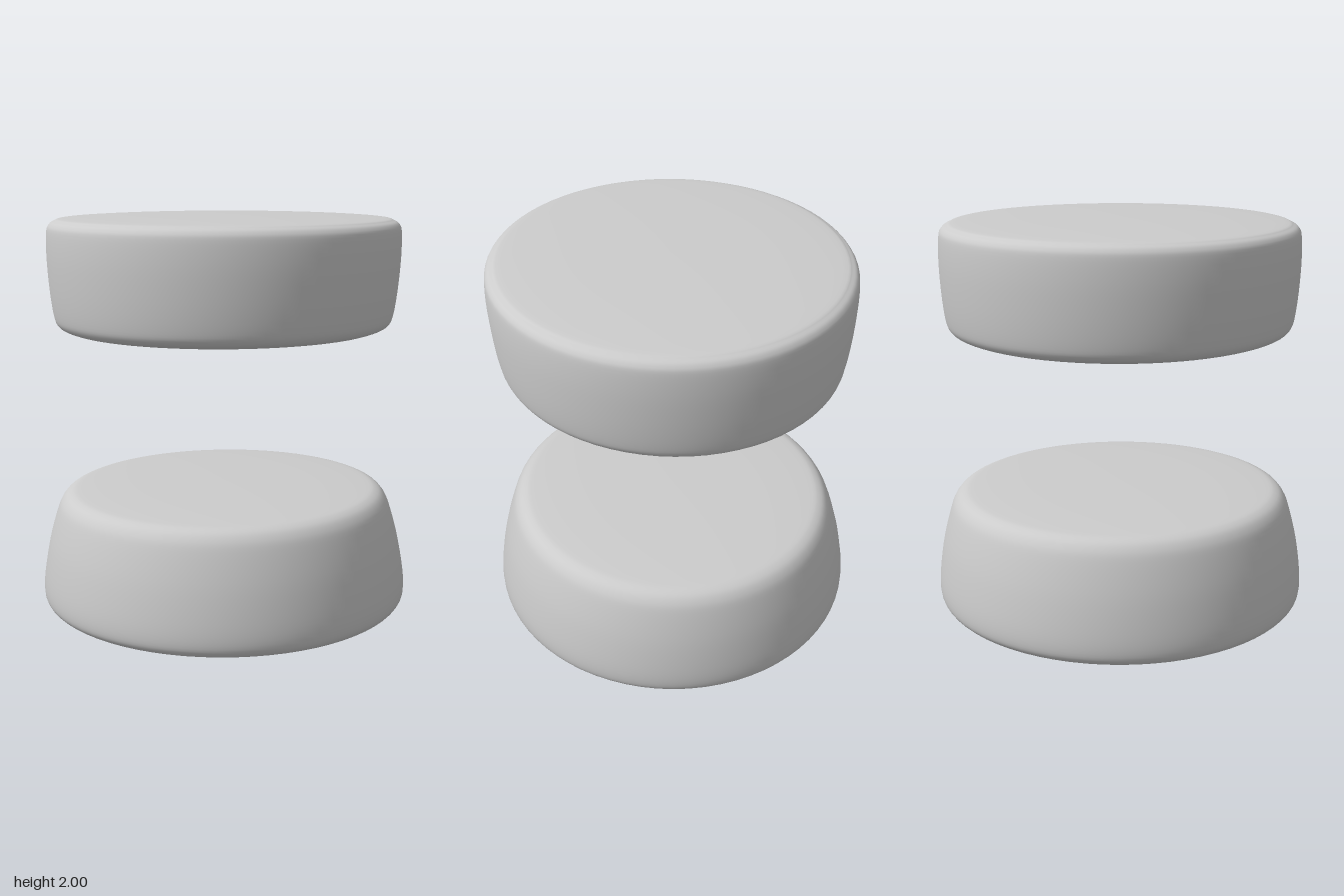
import * as THREE from 'three';

const material = new THREE.MeshStandardMaterial({ color: 0xcccccc });

// Rounded disc turned from a profile (bottom to top), slightly narrower in depth;
// the depth ratio changes linearly from its bottom to its top.
function makeDisc(name, profile, depthBottom, depthTop) {
  const curve = new THREE.SplineCurve(profile.map(([r, y]) => new THREE.Vector2(r, y)));
  const points = curve.getPoints(56);
  points.forEach((p) => { p.x = Math.max(p.x, 0); });
  points[0].x = points[points.length - 1].x = 0;
  const geometry = new THREE.LatheGeometry(points, 72);

  const y0 = profile[0][1];
  const y1 = profile[profile.length - 1][1];
  const pos = geometry.attributes.position;
  for (let i = 0; i < pos.count; i++) {
    const t = THREE.MathUtils.clamp((pos.getY(i) - y0) / (y1 - y0), 0, 1);
    pos.setZ(i, pos.getZ(i) * THREE.MathUtils.lerp(depthBottom, depthTop, t));
  }

  const mesh = new THREE.Mesh(geometry, material);
  mesh.name = name;
  return mesh;
}

export function createModel() {
  const model = new THREE.Group();
  model.name = 'discPair';

  // Lower disc: wide base, sides leaning inward to the top
  model.add(makeDisc('lowerDisc', [
    [0, 0], [0.47, 0.01], [0.8, 0.023], [0.88, 0.033], [0.922, 0.055], [0.94, 0.1],
    [0.937, 0.2], [0.913, 0.36], [0.875, 0.51], [0.847, 0.575], [0.805, 0.61],
    [0.73, 0.622], [0.47, 0.633], [0, 0.64],
  ], 0.99, 0.955));

  // Upper disc: nearly straight sides, slightly wider at the top
  model.add(makeDisc('upperDisc', [
    [0, 1.42], [0.47, 1.425], [0.74, 1.433], [0.815, 1.445], [0.85, 1.47], [0.866, 1.52],
    [0.88, 1.64], [0.888, 1.79], [0.885, 1.91], [0.873, 1.95], [0.845, 1.97],
    [0.785, 1.982], [0.47, 1.995], [0, 2],
  ], 0.963, 0.984));

  return model;
}
